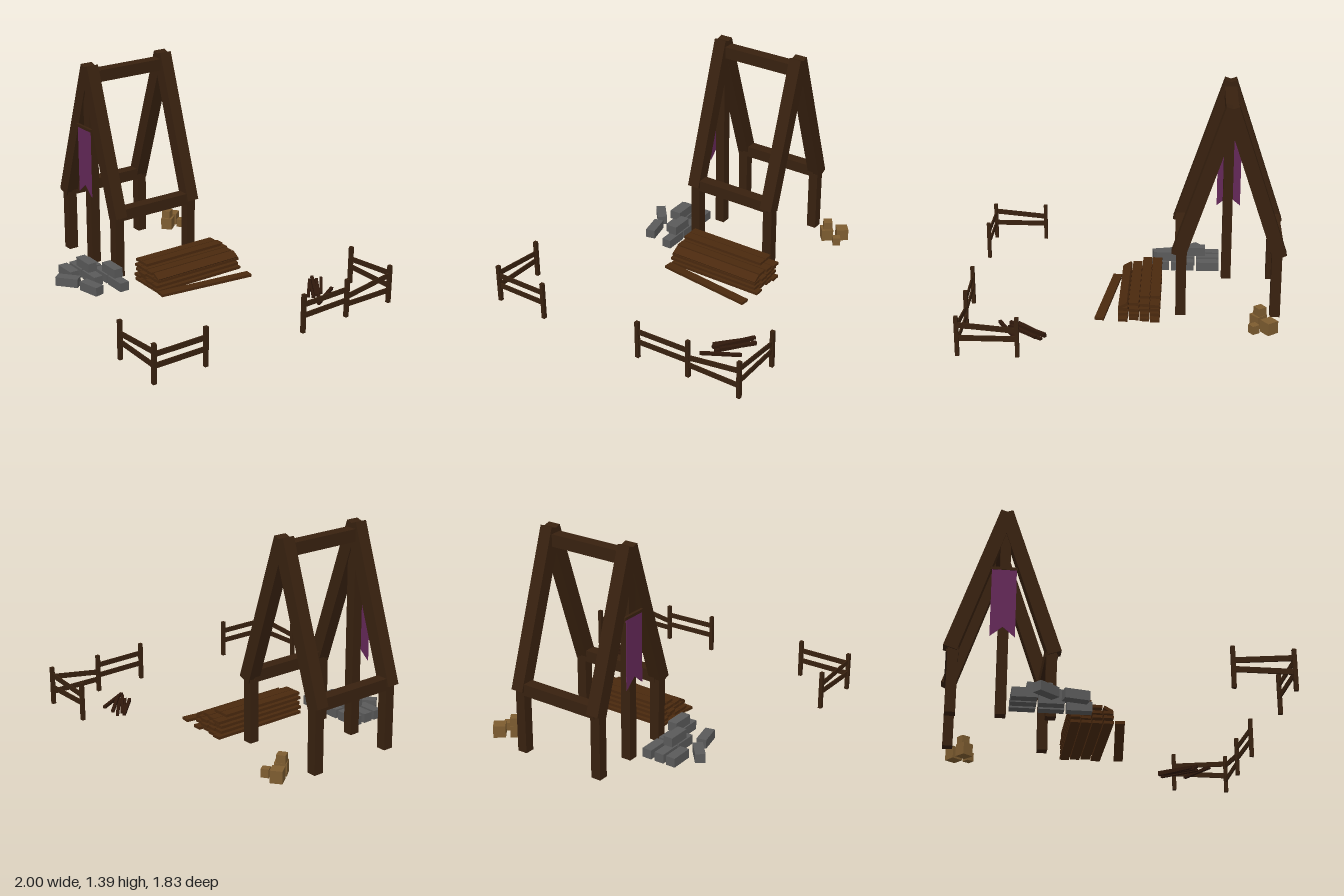
import * as THREE from 'three';

const mat = (color) => new THREE.MeshStandardMaterial({ color, flatShading: true });

export function createModel() {
  const root = new THREE.Group();
  const timber = mat(0x38210f), plankWood = mat(0x4a290e), stickWood = mat(0x2f180b);
  const crateWood = mat(0x7d5c30), stone = mat(0x5a5a5a), cloth = mat(0x642858);

  const group = (name) => {
    const g = new THREE.Group();
    g.name = name;
    root.add(g);
    return g;
  };
  // axis-aligned box, optionally turned about y and then tilted about z
  const box = (parent, name, m, size, pos, ry = 0, rz = 0) => {
    const mesh = new THREE.Mesh(new THREE.BoxGeometry(...size), m);
    mesh.name = name;
    mesh.position.set(...pos);
    mesh.rotation.set(0, ry, rz);
    parent.add(mesh);
    return mesh;
  };
  // beam from a to b: w across (level), h upright
  const beam = (parent, name, m, a, b, w, h) => {
    const A = new THREE.Vector3(...a), B = new THREE.Vector3(...b);
    const mesh = new THREE.Mesh(new THREE.BoxGeometry(w, h, A.distanceTo(B)), m);
    mesh.name = name;
    mesh.position.copy(A).add(B).multiplyScalar(0.5);
    mesh.lookAt(B);
    parent.add(mesh);
    return mesh;
  };

  // A-shaped timber frame
  const frame = group('timberFrame');
  const cx = -0.645, zf = 0.282, zb = -0.288;
  for (const z of [zf, zb]) {
    for (const s of [-1, 1]) {
      box(frame, 'cornerPost', timber, [0.064, 0.42, 0.066], [cx + s * 0.297, 0.22, z]);
      beam(frame, 'rafter', timber, [cx + s * 0.315, 0.422, z], [cx - s * 0.004, 1.377, z], 0.084, 0.088);
    }
  }
  box(frame, 'centrePost', timber, [0.064, 1.3, 0.066], [cx, 0.66, zf]);
  for (const s of [-1, 1])
    box(frame, 'sideBeam', timber, [0.076, 0.076, zf - zb], [cx + s * 0.3, 0.446, (zf + zb) / 2]);
  box(frame, 'ridgeBeam', timber, [0.078, 0.078, zf - zb], [cx, 1.31, (zf + zb) / 2]);

  // Hanging banner with a notched lower edge
  const banner = group('banner');
  box(banner, 'bannerRod', timber, [0.172, 0.018, 0.018], [cx - 0.008, 0.967, 0.327]);
  const outline = new THREE.Shape([[-0.077, 0.962], [-0.077, 0.505], [0, 0.57], [0.077, 0.505], [0.077, 0.962]]
    .map(([x, y]) => new THREE.Vector2(x, y)));
  const flag = new THREE.Mesh(new THREE.ExtrudeGeometry(outline, { depth: 0.004, bevelEnabled: false }), cloth);
  flag.name = 'bannerCloth';
  flag.position.set(cx - 0.006, 0, 0.328);
  banner.add(flag);

  // Stacked planks: [column x, number of layers]
  const planks = group('plankStack');
  [[-0.19, 5], [-0.125, 5], [-0.058, 4], [0.01, 3]].forEach(([x, layers], c) => {
    for (let i = 0; i < layers; i++) {
      const length = i === 4 ? 0.6 : 0.67 - 0.012 * ((i + c) % 3);
      const z = i === 4 ? -0.08 : -0.1 + 0.006 * ((i * 2 + c) % 3 - 1);
      box(planks, 'plank', plankWood, [0.06, 0.018, length], [x, 0.024 + i * 0.0335, z]);
    }
  });
  box(planks, 'slippedPlank', plankWood, [0.06, 0.018, 0.64], [0.008, 0.113, -0.1], 0, -0.5);
  beam(planks, 'loosePlank', plankWood, [0.077, 0.024, 0.235], [0.158, 0.024, -0.425], 0.058, 0.018);

  // Cut stone blocks: [x, y, z, turn]
  const stones = group('stoneBlocks');
  const low = 0.045, high = 0.115;
  for (const [x, y, z, turn] of [
    [-0.523, low, 0.383, 0], [-0.353, low, 0.383, 0], [-0.187, low, 0.383, 0], [-0.257, high, 0.383, 0],
    [-0.523, low, 0.473, 0], [-0.36, low, 0.473, 0], [-0.43, high, 0.473, 0],
    [-0.523, low, 0.556, 0], [-0.403, low, 0.632, 0.7], [-0.225, low, 0.563, 0.22],
  ]) box(stones, 'stoneBlock', stone, [0.152, 0.06, 0.064], [x, y, z], turn);

  // Crates: [size, height, x, bottom, z, turn]
  const crates = group('crates');
  for (const [s, h, x, y, z, turn] of [
    [0.078, 0.08, -0.895, 0.015, -0.54, 0.65], [0.05, 0.055, -0.802, 0.015, -0.55, 0.6],
    [0.077, 0.08, -0.832, 0.015, -0.456, 0.7], [0.058, 0.052, -0.84, 0.095, -0.458, 0.6],
  ]) box(crates, 'crate', crateWood, [s, h, s], [x, y + h / 2, z], turn);

  // Loose sticks: [x1, z1, x2, z2, y]
  const sticks = group('stickPile');
  for (const [x1, z1, x2, z2, y] of [
    [0.468, -0.684, 0.655, -0.513, 0.028], [0.47, -0.7, 0.7, -0.54, 0.046],
    [0.49, -0.722, 0.705, -0.56, 0.028], [0.52, -0.737, 0.69, -0.588, 0.046],
    [0.5, -0.668, 0.68, -0.535, 0.028], [0.648, -0.718, 0.773, -0.497, 0.028],
  ]) beam(sticks, 'stick', stickWood, [x1, y, z1], [x2, y, z2], 0.02, 0.018);

  // Fences: posts [x, z], then one [upper start, upper end, lower] height set per span
  const fence = (name, posts, spans) => {
    const g = group(name);
    for (const [x, z] of posts) box(g, 'fencePost', timber, [0.024, 0.255, 0.024], [x, 0.13, z]);
    spans.forEach(([y1, y2, y3], i) => {
      const [x1, z1] = posts[i], [x2, z2] = posts[i + 1];
      beam(g, 'upperRail', timber, [x1, y1, z1], [x2, y2, z2], 0.009, 0.034);
      beam(g, 'lowerRail', timber, [x1, y3, z1], [x2, y3, z2], 0.009, 0.034);
    });
  };
  fence('backFence', [[0.612, -0.907], [0.972, -0.907], [0.972, -0.55], [0.984, -0.192]],
    [[0.172, 0.204, 0.118], [0.192, 0.138, 0.087], [0.188, 0.188, 0.115]]);
  fence('frontFence', [[0.63, 0.896], [0.986, 0.9], [0.986, 0.54]],
    [[0.172, 0.204, 0.118], [0.188, 0.188, 0.115]]);

  return root;
}
